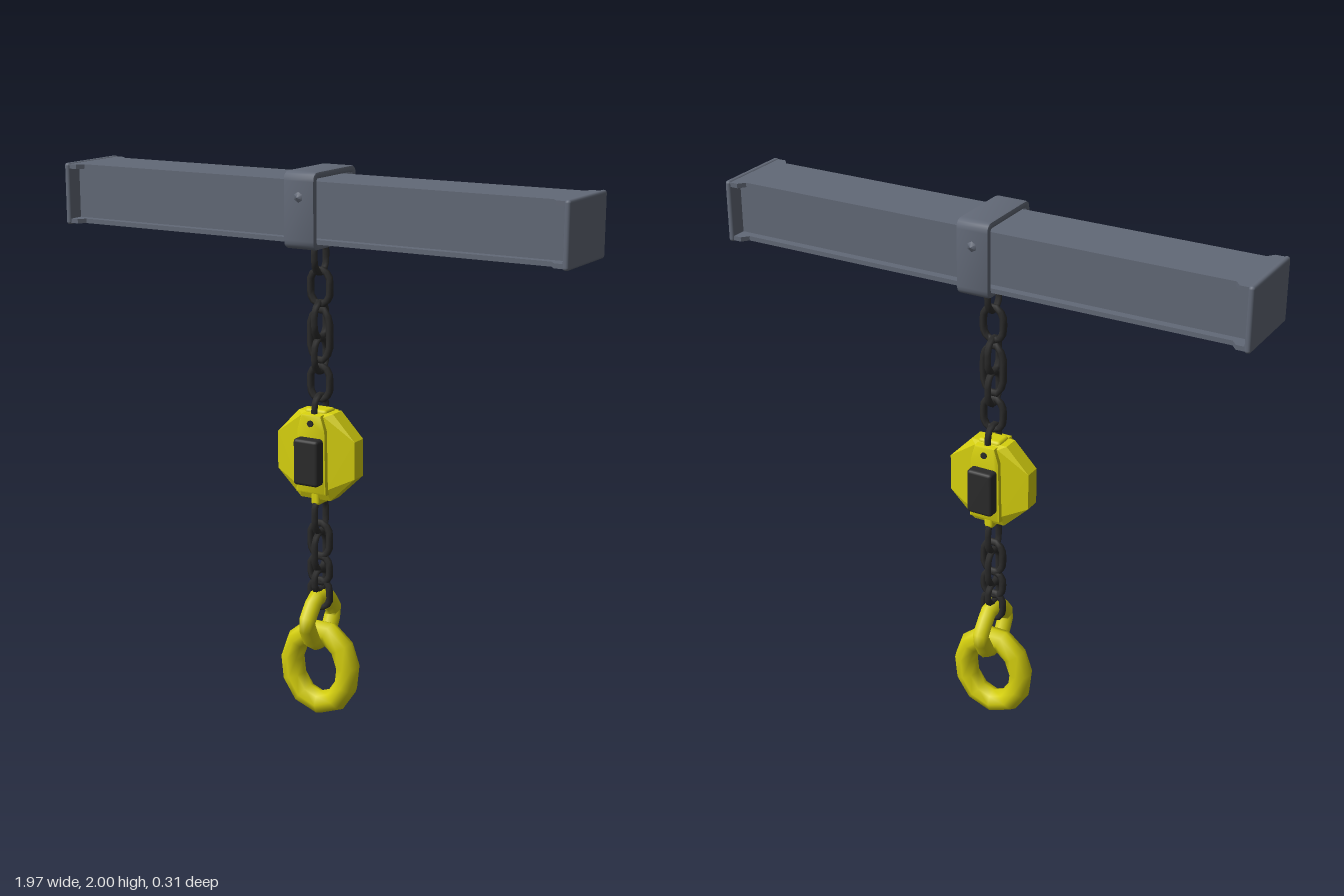
import * as THREE from 'three';
import { toCreasedNormals } from 'three/addons/utils/BufferGeometryUtils.js';
import { RoundedBoxGeometry } from 'three/addons/geometries/RoundedBoxGeometry.js';
import { ConvexGeometry } from 'three/addons/geometries/ConvexGeometry.js';

const material = (name, color) => {
  const m = new THREE.MeshStandardMaterial({ color });
  m.name = name;
  return m;
};

export function createModel() {
  const steel = material('grey steel', 0x626977);
  const yellow = material('yellow paint', 0xd6d00e);
  const black = material('black iron', 0x2b2b2b);
  const model = new THREE.Group();
  model.name = 'chainHoist';

  function add(parent, name, geometry, mat, x = 0, y = 0, z = 0) {
    const mesh = new THREE.Mesh(geometry, mat);
    mesh.name = name;
    mesh.position.set(x, y, z);
    parent.add(mesh);
    return mesh;
  }
  function group(name) {
    const g = new THREE.Group();
    g.name = name;
    model.add(g);
    return g;
  }
  const shapeOf = pts => new THREE.Shape(pts.map(p => new THREE.Vector2(...p)));

  // closed tube through points in the XY plane
  function ring(pts, radius, segments, sides, tension = 0.5) {
    const path = new THREE.CatmullRomCurve3(
      pts.map(([x, y]) => new THREE.Vector3(x, y, 0)), true, 'catmullrom', tension);
    return new THREE.TubeGeometry(path, segments, radius, sides, true);
  }

  // ---- beam: web, two flanges flaring at the ends, end plates
  const beam = group('beam');
  add(beam, 'web', new THREE.BoxGeometry(1.94, 0.19, 0.18), steel, 0, 1.863, 0);
  const flangeShape = shapeOf([
    [-0.98, -0.145], [-0.935, -0.145], [-0.915, -0.12], [0.915, -0.12], [0.935, -0.145], [0.98, -0.145],
    [0.98, 0.145], [0.935, 0.145], [0.915, 0.12], [-0.915, 0.12], [-0.935, 0.145], [-0.98, 0.145],
  ]);
  for (const [name, y] of [['bottomFlange', 1.757], ['topFlange', 1.953]]) {
    const g = new THREE.ExtrudeGeometry(flangeShape, { depth: 0.016, bevelEnabled: false });
    add(beam, name, g.rotateX(-Math.PI / 2), steel, 0, y, 0);
  }
  for (const s of [-1, 1]) {
    add(beam, s > 0 ? 'leftEndPlate' : 'rightEndPlate',
      new RoundedBoxGeometry(0.022, 0.222, 0.3, 2, 0.01), steel, s * 0.974, 1.862, 0);
  }

  // ---- collar wrapped round the beam
  const roundRect = (path, w, h, r) => {
    path.moveTo(-w + r, -h);
    path.lineTo(w - r, -h); path.quadraticCurveTo(w, -h, w, -h + r);
    path.lineTo(w, h - r); path.quadraticCurveTo(w, h, w - r, h);
    path.lineTo(-w + r, h); path.quadraticCurveTo(-w, h, -w, h - r);
    path.lineTo(-w, -h + r); path.quadraticCurveTo(-w, -h, -w + r, -h);
    return path;
  };
  const collarShape = roundRect(new THREE.Shape(), 0.137, 0.125, 0.025);
  collarShape.holes.push(roundRect(new THREE.Path(), 0.125, 0.116, 0.015));
  const collarGeo = new THREE.ExtrudeGeometry(collarShape, {
    depth: 0.104, bevelThickness: 0.008, bevelSize: 0.007, bevelSegments: 2, curveSegments: 4,
  }).translate(0, 0, -0.052).rotateY(Math.PI / 2);
  const collar = group('collar');
  add(collar, 'strap', toCreasedNormals(collarGeo, 0.7), steel, 0, 1.868, 0);
  for (const s of [-1, 1]) {
    const boss = new THREE.ConeGeometry(0.02, 0.012, 6).rotateX(s * Math.PI / 2);
    add(collar, 'boss', boss, steel, 0, 1.915, s * 0.149);
  }

  // ---- chain links: [bottom, top, true when turned edge-on to the front]
  function chain(name, links) {
    const g = group(name);
    for (const [bottom, top, turned] of links) {
      const h = (top - bottom) / 2 - 0.013, w = 0.038;
      const geo = ring([[w, -h * 0.5], [w, h * 0.5], [w * 0.5, h], [-w * 0.5, h],
        [-w, h * 0.5], [-w, -h * 0.5], [-w * 0.5, -h], [w * 0.5, -h]], 0.013, 16, 6, 0.25);
      const link = add(g, 'link', geo, black, 0, (top + bottom) / 2, 0);
      if (turned) link.rotation.y = Math.PI / 2;
    }
  }
  chain('upperChain', [
    [1.63, 1.77, true], [1.52, 1.66, false], [1.4, 1.545, true], [1.32, 1.52, false],
    [1.28, 1.42, true], [1.18, 1.32, false], [1.09, 1.215, true],
  ]);
  chain('lowerChain', [
    [0.69, 0.84, true], [0.6, 0.745, false], [0.55, 0.71, true], [0.5, 0.62, false],
    [0.47, 0.57, true], [0.405, 0.53, false],
  ]);

  // ---- hoist body: octagonal housing rising to a raised centre
  const hoist = group('hoist');
  const outline = [[0.07, 1.15], [0.157, 1.06], [0.157, 0.925], [0.06, 0.832]];
  const centre = [[0.045, 1.14], [0.055, 0.875]];
  const points = [];
  for (const sx of [-1, 1]) for (const sz of [-1, 1]) {
    for (const [x, y] of outline) points.push(new THREE.Vector3(sx * x, y, sz * 0.03));
    for (const [x, y] of centre) points.push(new THREE.Vector3(sx * x, y, sz * 0.05));
  }
  add(hoist, 'housing', new ConvexGeometry(points), yellow);
  const panelShape = shapeOf([[-0.055, 0.865], [0.055, 0.865], [0.05, 1.09], [0.035, 1.14], [-0.035, 1.14], [-0.05, 1.09]]);
  const panelGeo = new THREE.ExtrudeGeometry(panelShape, {
    depth: 0.116, bevelThickness: 0.008, bevelSize: 0.006, bevelSegments: 2,
  }).translate(0, 0, -0.058);
  add(hoist, 'centrePanel', toCreasedNormals(panelGeo, 0.6), yellow);
  add(hoist, 'topLug', new RoundedBoxGeometry(0.09, 0.04, 0.07, 2, 0.012), yellow, 0, 1.14, 0);
  add(hoist, 'bottomLug', new RoundedBoxGeometry(0.036, 0.06, 0.08, 2, 0.012), yellow, 0, 0.838, 0);
  for (const s of [-1, 1]) {
    add(hoist, s > 0 ? 'frontBox' : 'backBox',
      new RoundedBoxGeometry(0.1, 0.168, 0.06, 2, 0.012), black, 0, 0.98, s * 0.076);
    const screw = new THREE.CylinderGeometry(0.012, 0.012, 0.008, 8).rotateX(Math.PI / 2);
    add(hoist, 'screw', screw, black, 0, 1.115, s * 0.068);
  }

  // ---- shackle and lifting ring
  const rings = group('liftingRings');
  const shackle = add(rings, 'shackle', ring([[0.035, 0.455], [-0.035, 0.455], [-0.096, 0.378],
    [-0.05, 0.292], [0.05, 0.292], [0.096, 0.378]], 0.031, 18, 8, 0.15), yellow);
  shackle.rotation.y = Math.PI / 2;
  const oval = [];
  for (let i = 0; i < 11; i++) {
    const a = i / 11 * Math.PI * 2 - Math.PI / 2;
    oval.push([0.118 * Math.cos(a), 0.185 + 0.141 * Math.sin(a)]);
  }
  add(rings, 'liftingRing', ring(oval, 0.044, 11, 8), yellow);

  return model;
}
